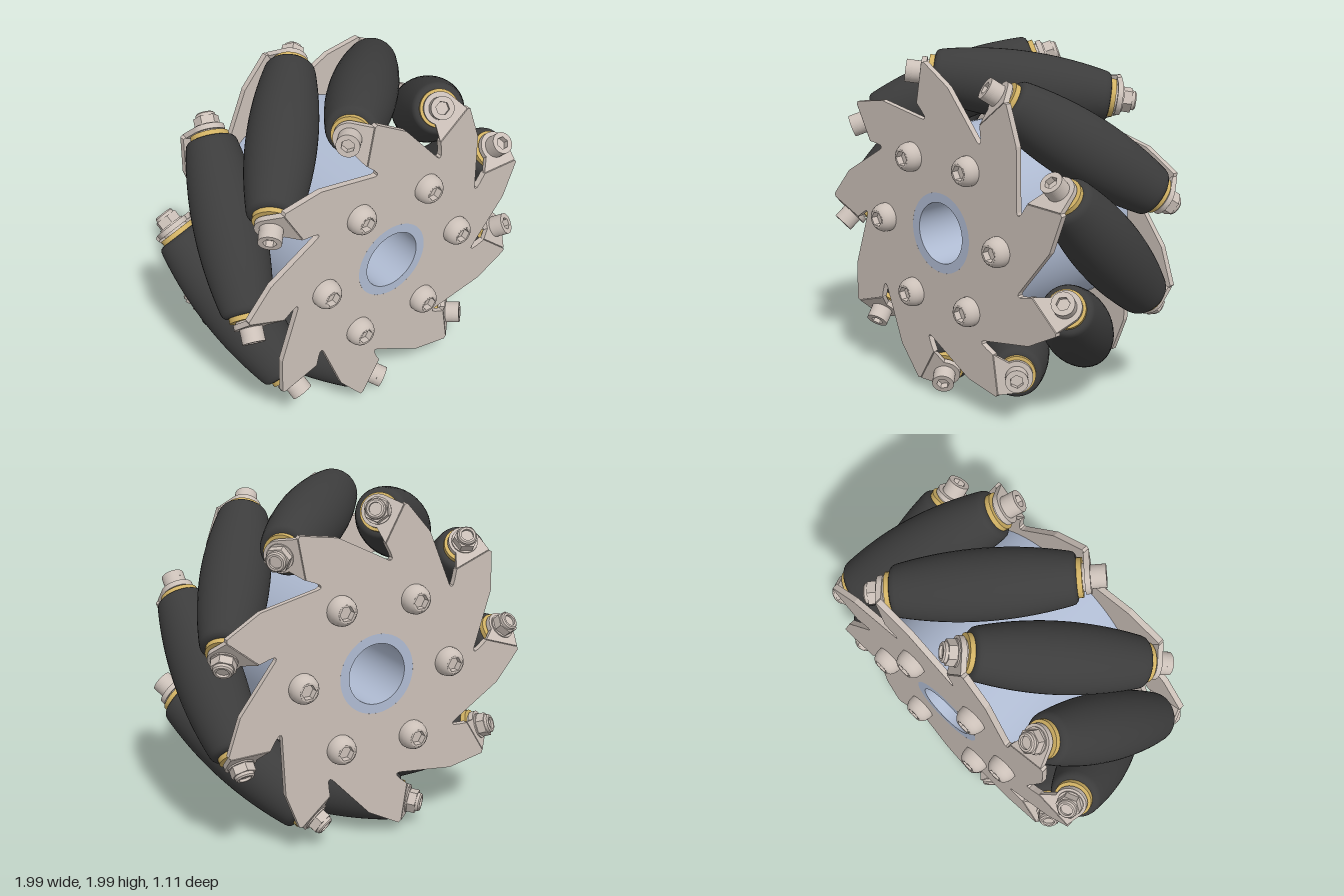
import * as THREE from 'three';
import { toCreasedNormals } from 'three/addons/utils/BufferGeometryUtils.js';

const COUNT = 9;
const AXLE_R = 0.8;           // distance of roller axes from the wheel axis
const RAD = Math.PI / 180;

const mat = (name, color) => {
  const m = new THREE.MeshStandardMaterial({ color });
  m.name = name;
  return m;
};

const mesh = (name, geo, material) => {
  const m = new THREE.Mesh(geo, material);
  m.name = name;
  return m;
};

// turned part around the y axis, with sharp edges kept
const turned = (pts, segments = 32) =>
  toCreasedNormals(new THREE.LatheGeometry(pts.map(p => new THREE.Vector2(p[0], p[1])), segments), 0.6);

// flat shape raised along +y from y0
const raised = (shape, depth, y0, curveSegments = 24) =>
  new THREE.ExtrudeGeometry(shape, { depth, bevelEnabled: false, curveSegments })
    .rotateX(-Math.PI / 2).translate(0, y0, 0);

const polar = (r, deg) => new THREE.Vector2(r * Math.cos(deg * RAD), r * Math.sin(deg * RAD));

// disc with a hexagonal socket
function socketDisc(radius, hexRadius) {
  const s = new THREE.Shape().absarc(0, 0, radius, 0, Math.PI * 2);
  const hex = [];
  for (let i = 0; i < 6; i++) hex.push(polar(hexRadius, i * 60));
  s.holes.push(new THREE.Path(hex.reverse()));
  return s;
}

// flat side plate outline: nine swept arms cut off at the fold lines
function plateGeometry() {
  const pts = [];
  const arm = [
    polar(0.83, 6), polar(0.95, 18.3),
    [0.89, 0.312], [0.66, 0.312],                        // fold line
    [0.628, 0.262], [0.608, 0.237], [0.594, 0.236], [0.588, 0.25], // relief slot
  ].map(p => (p.isVector2 ? p : new THREE.Vector2(p[0], p[1])));
  const origin = new THREE.Vector2();
  for (let i = 0; i < COUNT; i++)
    for (const p of arm) pts.push(p.clone().rotateAround(origin, i * 40 * RAD));
  const shape = new THREE.Shape(pts);
  shape.holes.push(new THREE.Path().absarc(0, 0, 0.23, 0, Math.PI * 2, true));
  return new THREE.ExtrudeGeometry(shape, { depth: 0.034, bevelEnabled: false, curveSegments: 48 })
    .translate(0, 0, 0.444);
}

// bent ear that holds a roller axle
function tabGeometry() {
  const r = 0.09, fold = -0.112;
  const s = new THREE.Shape();
  s.moveTo(-0.14, fold);
  s.lineTo(r, fold);
  s.lineTo(r, 0);
  s.absarc(0, 0, r, 0, Math.PI * 1.12, false);
  s.lineTo(-0.14, fold);
  return raised(s, 0.03, 0.53);
}

// barrel shaped roller with rounded ends
function rollerGeometry() {
  const right = [];
  for (let i = 0; i <= 10; i++) {
    const s = 0.455 * i / 10;
    right.push([0.193 - 0.237 * s * s, s]);
  }
  right.push([0.138, 0.473], [0.127, 0.485], [0.112, 0.49], [0, 0.49]);
  const left = right.slice(1).reverse().map(([r, y]) => [r, -y]);
  return turned([...left, ...right], 40);
}

export function createModel() {
  const steel = mat('warm steel', 0xcbc0b8);
  const rubber = mat('dark rubber', 0x3c3c3c);
  const alloy = mat('blue grey alloy', 0xafbbd2);
  const brass = mat('brass', 0xd2b264);

  const geo = {
    roller: rollerGeometry(),
    bushing: turned([[0, 0.47], [0.106, 0.47], [0.106, 0.518], [0, 0.518]]),
    spacer: turned([[0, 0.51], [0.075, 0.51], [0.075, 0.535], [0, 0.535]]),
    tab: tabGeometry(),
    plate: plateGeometry(),
    capBase: turned([[0, 0.555], [0.063, 0.555], [0.063, 0.605], [0, 0.605]]),
    capRim: raised(socketDisc(0.063, 0.037), 0.038, 0.604),
    nutWasher: turned([[0, 0.555], [0.074, 0.555], [0.074, 0.568], [0, 0.568]]),
    nut: new THREE.CylinderGeometry(0.07, 0.07, 0.048, 6).toNonIndexed().translate(0, 0.592, 0),
    nutCollar: turned([[0, 0.61], [0.056, 0.61], [0.054, 0.632], [0.046, 0.64],
      [0.034, 0.64], [0.034, 0.625], [0, 0.625]]),
    dome: turned([[0, 0.47], [0.083, 0.47], [0.083, 0.5], [0.078, 0.522], [0.068, 0.54],
      [0.058, 0.55], [0.05, 0.555], [0.05, 0.515], [0, 0.515]]),
    domeRim: raised(socketDisc(0.051, 0.044), 0.04, 0.515),
  };
  geo.nut.computeVertexNormals();

  // bushing, ear and fastener at one end of a roller
  function rollerEnd(front) {
    const g = new THREE.Group();
    g.name = front ? 'frontAxleEnd' : 'backAxleEnd';
    g.add(mesh('bushing', geo.bushing, brass), mesh('spacer', geo.spacer, steel),
      mesh('tab', geo.tab, steel));
    if (front) {
      g.add(mesh('capScrew', geo.capBase, steel), mesh('capScrewSocket', geo.capRim, steel));
    } else {
      g.add(mesh('nutWasher', geo.nutWasher, steel), mesh('nut', geo.nut, steel),
        mesh('nutCollar', geo.nutCollar, steel));
      g.rotation.x = Math.PI;
    }
    return g;
  }

  const wheel = new THREE.Group();
  wheel.name = 'wheel';

  // rollers, tilted 45 degrees to the wheel axis
  for (let i = 0; i < COUNT; i++) {
    const spoke = new THREE.Group();
    spoke.name = 'rollerAssembly';
    spoke.rotation.z = i * 40 * RAD;
    const unit = new THREE.Group();
    unit.name = 'tiltedRoller';
    unit.position.x = AXLE_R;
    unit.rotation.x = Math.PI / 4;
    unit.add(mesh('roller', geo.roller, rubber), rollerEnd(true), rollerEnd(false));
    spoke.add(unit);
    wheel.add(spoke);
  }

  // side plates with their button screws
  for (const front of [true, false]) {
    const side = new THREE.Group();
    side.name = front ? 'frontSide' : 'backSide';
    side.add(mesh('sidePlate', geo.plate, steel));
    for (let i = 0; i < 6; i++) {
      const a = (i * 60 + (front ? 1 : -1)) * RAD;
      const screw = new THREE.Group();
      screw.name = 'buttonScrew';
      screw.add(mesh('buttonHead', geo.dome, steel), mesh('buttonSocket', geo.domeRim, steel));
      screw.rotation.x = Math.PI / 2;
      screw.position.set(0.46 * Math.cos(a), 0.46 * Math.sin(a), 0);
      side.add(screw);
    }
    if (!front) side.rotation.x = Math.PI;
    wheel.add(side);
  }

  // hub drum with bore
  const hub = mesh('hub', turned([[0.175, -0.478], [0.23, -0.478], [0.23, -0.446], [0.575, -0.446],
    [0.575, 0.446], [0.23, 0.446], [0.23, 0.478], [0.175, 0.478], [0.175, -0.478]], 64), alloy);
  hub.rotation.x = Math.PI / 2;
  wheel.add(hub);

  wheel.rotation.z = -1 * RAD;
  wheel.position.set(0.008, 1, 0);

  const model = new THREE.Group();
  model.name = 'rollerWheel';
  model.add(wheel);
  return model;
}
